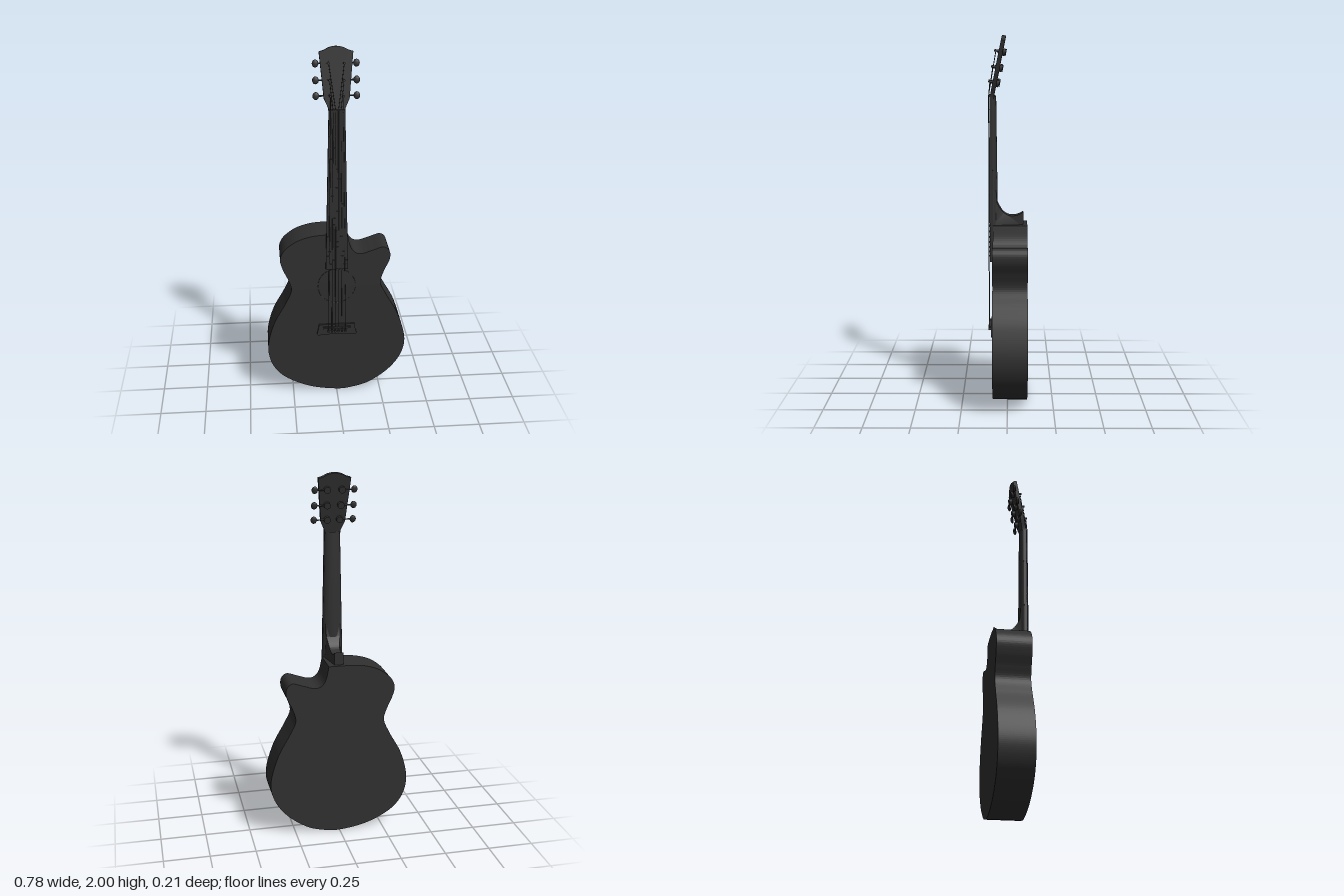
import * as THREE from 'three';
import { toCreasedNormals } from 'three/addons/utils/BufferGeometryUtils.js';

const dark = new THREE.MeshStandardMaterial({ color: 0x303030 });
const V = (x, y, z) => new THREE.Vector3(x, y, z);
const P = (list) => list.map(([x, y]) => new THREE.Vector2(x, y));

function add(parent, name, geometry, x = 0, y = 0, z = 0) {
  const mesh = new THREE.Mesh(geometry, dark);
  mesh.name = name;
  mesh.position.set(x, y, z);
  parent.add(mesh);
  return mesh;
}

function extrude(shape, depth, curveSegments = 12) {
  const g = new THREE.ExtrudeGeometry(shape, { depth, bevelEnabled: false, curveSegments });
  return toCreasedNormals(g, 0.6);
}

// cylinder between two points
function rod(parent, name, a, b, r, sides = 8) {
  const dir = b.clone().sub(a);
  const m = add(parent, name, new THREE.CylinderGeometry(r, r, dir.length(), sides));
  m.position.copy(a).add(b).multiplyScalar(0.5);
  m.quaternion.setFromUnitVectors(V(0, 1, 0), dir.normalize());
  return m;
}

const NUT_Y = 1.68, TILT = 0.2;
const neckHalf = (y) => 0.043 + (NUT_Y - y) * 0.02;

function buildBody(root) {
  const s = new THREE.Shape();
  s.moveTo(-0.06, 0.98);
  s.splineThru(P([[-0.14, 0.972], [-0.22, 0.945], [-0.285, 0.895], [-0.31, 0.84], [-0.297, 0.78],
    [-0.268, 0.715], [-0.252, 0.65], [-0.285, 0.57], [-0.35, 0.45], [-0.385, 0.33], [-0.385, 0.24],
    [-0.352, 0.155], [-0.28, 0.085], [-0.15, 0.025], [0, 0], [0.09, 0.008], [0.19, 0.04],
    [0.30, 0.12], [0.37, 0.22], [0.388, 0.33], [0.345, 0.48], [0.275, 0.61], [0.245, 0.68],
    [0.262, 0.75], [0.293, 0.82], [0.292, 0.87], [0.26, 0.897], [0.2, 0.88], [0.14, 0.862],
    [0.1, 0.872], [0.075, 0.91], [0.06, 0.98]]));
  s.closePath();
  add(root, 'body', extrude(s, 0.188, 110), 0, 0, -0.108);
  // sound hole inlay and its rim
  add(root, 'soundHole', new THREE.CircleGeometry(0.103, 48), 0, 0.67, 0.0812);
  add(root, 'soundHoleRim', new THREE.TorusGeometry(0.104, 0.0015, 6, 48), 0, 0.67, 0.0805);
}

function buildNeck(root) {
  // half-round neck, lofted along its length
  const ys = [0.97, 1.1, 1.25, 1.4, 1.55, NUT_Y], n = 14, pos = [], index = [];
  ys.forEach((y) => {
    for (let i = 0; i <= n; i++) {
      const a = (i / n) * Math.PI;
      pos.push(neckHalf(y) * Math.cos(a), y, 0.082 - (0.021 + (NUT_Y - y) * 0.012) * Math.sin(a));
    }
  });
  for (let j = 0; j < ys.length - 1; j++)
    for (let i = 0; i < n; i++) {
      const a = j * (n + 1) + i, b = a + n + 1;
      index.push(a, a + 1, b, a + 1, b + 1, b);
    }
  const g = new THREE.BufferGeometry();
  g.setAttribute('position', new THREE.Float32BufferAttribute(pos, 3));
  g.setIndex(index);
  g.computeVertexNormals();
  const neck = add(root, 'neck', g);
  neck.material = dark.clone();
  neck.material.side = THREE.DoubleSide;

  // heel: side profile across the neck, narrowing towards the back
  const s = new THREE.Shape(P([[0.082, 0.97], [0.082, 1.17], [0.062, 1.17], [0.056, 1.1]]));
  s.splineThru(P([[0.03, 1.057], [0.005, 1.037], [-0.025, 1.029], [-0.06, 1.035], [-0.086, 1.05]]));
  s.lineTo(-0.086, 0.97);
  s.closePath();
  let heel = new THREE.ExtrudeGeometry(s, { depth: 2, bevelEnabled: false, curveSegments: 24 });
  heel.translate(0, 0, -1).rotateY(-Math.PI / 2);
  const p = heel.attributes.position;
  for (let i = 0; i < p.count; i++) {
    const z = p.getZ(i), t = Math.max(0, (z - 0.01) / 0.072);
    p.setX(i, p.getX(i) * (0.025 + 0.004 * (z + 0.086) / 0.17 + 0.024 * t * t));
  }
  add(root, 'heel', toCreasedNormals(heel, 0.6));

  // tapered fingerboard with frets and nut
  const a = neckHalf(0.78), b = neckHalf(NUT_Y);
  const board = new THREE.Shape(P([[-a, 0.78], [a, 0.78], [b, NUT_Y], [-b, NUT_Y]]));
  add(root, 'fingerboard', extrude(board, 0.017), 0, 0, 0.0795);
  const scale = NUT_Y - 0.41;
  for (let i = 1; i <= 20; i++) {
    const y = 0.41 + scale / 2 ** (i / 12);
    add(root, 'fret', new THREE.BoxGeometry(neckHalf(y) * 2, 0.003, 0.002), 0, y, 0.0967);
  }
  add(root, 'nut', new THREE.BoxGeometry(0.084, 0.012, 0.024), 0, NUT_Y, 0.089);
}

function buildHeadstock(root) {
  const head = new THREE.Group();
  head.name = 'headstock';
  head.position.set(0, NUT_Y, 0.094);
  head.rotation.x = -TILT;
  root.add(head);

  const s = new THREE.Shape(P([[-0.042, -0.012], [0.042, -0.012], [0.045, 0.015], [0.066, 0.062], [0.088, 0.3]]));
  s.splineThru(P([[0.062, 0.308], [0.035, 0.321], [0, 0.327], [-0.035, 0.321], [-0.062, 0.308], [-0.088, 0.3]]));
  s.lineTo(-0.066, 0.062);
  s.lineTo(-0.045, 0.015);
  s.closePath();
  add(head, 'headstockPlate', extrude(s, 0.022), 0, 0, -0.022);

  // three tuners on each side
  for (const side of [-1, 1])
    [0.075, 0.155, 0.24].forEach((y, i) => {
      const x = side * (0.034 + i * 0.003);
      rod(head, 'tunerPost', V(x, y, -0.02), V(x, y, 0.024), 0.006, 12);
      rod(head, 'tunerWasher', V(x, y, 0), V(x, y, 0.004), 0.011, 16);
      rod(head, 'tunerHousing', V(x, y, -0.04), V(x, y, -0.02), 0.018, 16);
      rod(head, 'tunerShaft', V(x, y, -0.028), V(side * 0.1, y, -0.028), 0.004);
      add(head, 'tunerKnob', new THREE.SphereGeometry(1, 16, 12), side * 0.106, y, -0.028)
        .scale.set(0.017, 0.02, 0.009);
    });
  return head;
}

function buildBridge(root) {
  const s = new THREE.Shape();
  s.moveTo(-0.1, 0.432);
  s.lineTo(0.1, 0.432);
  s.quadraticCurveTo(0.104, 0.4, 0.112, 0.375);
  s.quadraticCurveTo(0.11, 0.362, 0.098, 0.364);
  s.quadraticCurveTo(0, 0.376, -0.098, 0.364);
  s.quadraticCurveTo(-0.11, 0.362, -0.112, 0.375);
  s.quadraticCurveTo(-0.104, 0.4, -0.1, 0.432);
  add(root, 'bridge', extrude(s, 0.011), 0, 0, 0.079);
  add(root, 'saddle', new THREE.BoxGeometry(0.156, 0.01, 0.016), 0, 0.414, 0.093);
  for (let i = 0; i < 6; i++) {
    const x = (i - 2.5) * 0.019;
    rod(root, 'bridgePin', V(x, 0.394, 0.085), V(x, 0.394, 0.106), 0.006, 10);
  }
}

function buildStrings(root, head) {
  head.updateMatrix();
  for (let i = 0; i < 6; i++) {
    const k = i - 2.5, side = Math.sign(k), r = 0.0022 - i * 0.0002;
    const row = Math.abs(k) - 0.5; // outer strings use the lowest tuners
    const pin = V(k * 0.019, 0.394, 0.1), saddle = V(k * 0.019, 0.414, 0.102), nut = V(k * 0.0135, NUT_Y, 0.102);
    const post = V(side * (0.04 - row * 0.003), 0.24 - row * 0.0825, 0.016).applyMatrix4(head.matrix);
    rod(root, 'stringEnd', pin, saddle, r, 6);
    rod(root, 'string', saddle, nut, r, 6);
    rod(root, 'stringToTuner', nut, post, r, 6);
  }
}

export function createModel() {
  const root = new THREE.Group();
  root.name = 'guitar';
  buildBody(root);
  buildNeck(root);
  const head = buildHeadstock(root);
  buildBridge(root);
  buildStrings(root, head);
  return root;
}
